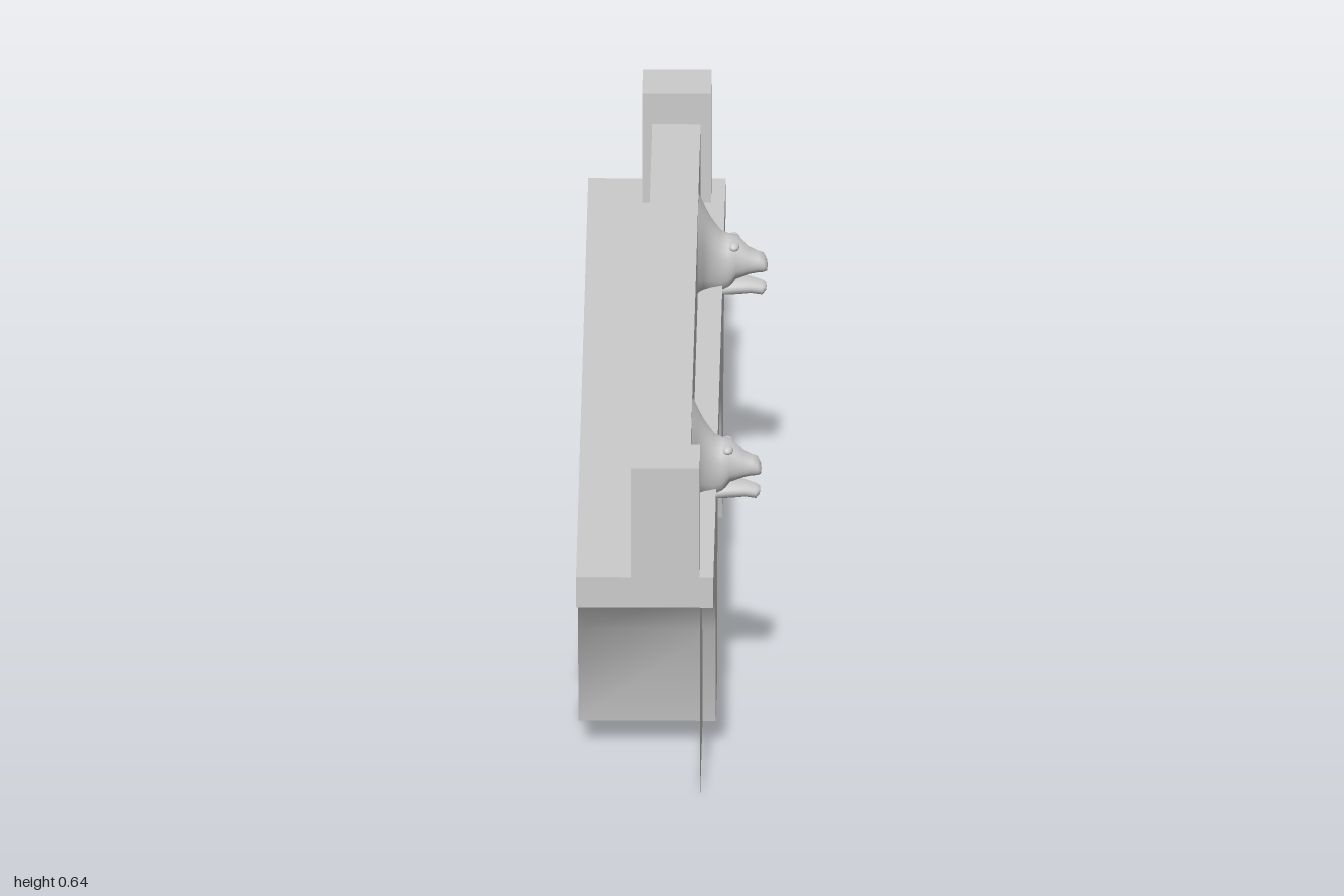
import * as THREE from 'three';

const stone = new THREE.MeshStandardMaterial({ color: 0xcccccc, side: THREE.DoubleSide });
stone.name = 'grey stone';

const FACE = 0.082, BACK = -0.168, DECK_BOTTOM = 0.373, DECK_TOP = 0.432;

function add(parent, name, geometry, x = 0, y = 0, z = 0) {
  const mesh = new THREE.Mesh(geometry, stone);
  mesh.name = name;
  mesh.position.set(x, y, z);
  parent.add(mesh);
  return mesh;
}

// Box given by its limits
function block(parent, name, x0, x1, y0, y1, z0, z1) {
  return add(parent, name, new THREE.BoxGeometry(x1 - x0, y1 - y0, z1 - z0),
    (x0 + x1) / 2, (y0 + y1) / 2, (z0 + z1) / 2);
}

// Smooth skin over oval sections along x: [x, top, bottom, half width]
function loft(sections, squareness = 1) {
  const n = 20, pos = [], index = [];
  const bend = v => Math.sign(v) * Math.pow(Math.abs(v), squareness);
  for (const [x, top, bottom, half] of sections) {
    for (let j = 0; j < n; j++) {
      const a = (j / n) * Math.PI * 2;
      pos.push(x, (top + bottom) / 2 + bend(Math.cos(a)) * (top - bottom) / 2, bend(Math.sin(a)) * half);
    }
  }
  for (let i = 0; i < sections.length - 1; i++) {
    for (let j = 0; j < n; j++) {
      const a = i * n + j, b = i * n + (j + 1) % n;
      index.push(a, b, a + n, b, b + n, a + n);
    }
  }
  // Blunt tip
  const [x, top, bottom] = sections[sections.length - 1];
  const last = (sections.length - 1) * n, centre = pos.length / 3;
  pos.push(x + 0.001, (top + bottom) / 2, 0);
  for (let j = 0; j < n; j++) index.push(centre, last + j, last + (j + 1) % n);
  const g = new THREE.BufferGeometry();
  g.setAttribute('position', new THREE.Float32BufferAttribute(pos, 3));
  g.setIndex(index);
  g.computeVertexNormals();
  return g;
}

// Curved sheet along an arch side, spanning the full bridge width; profile is [z, y]
function soffit(profile) {
  const pos = [], index = [];
  profile.forEach(([z, y], i) => {
    pos.push(FACE, y, z, BACK, y, z);
    if (i) {
      const a = 2 * i - 2;
      index.push(a, a + 1, a + 2, a + 1, a + 3, a + 2);
    }
  });
  if (profile[0][0] > profile[2][0]) index.reverse();
  const g = new THREE.BufferGeometry();
  g.setAttribute('position', new THREE.Float32BufferAttribute(pos, 3));
  g.setIndex(index);
  g.computeVertexNormals();
  return g;
}

// Animal head with a flared mane and an open mouth, facing +x
function makeHead() {
  const head = new THREE.Group();
  head.name = 'carvedHead';
  add(head, 'maneAndMuzzle', loft([
    [0.036, 0.583, 0.41, 0.115], [0.048, 0.563, 0.41, 0.085],
    [0.06, 0.542, 0.406, 0.066], [0.078, 0.518, 0.406, 0.053],
    [0.092, 0.512, 0.412, 0.047], [0.106, 0.51, 0.433, 0.043],
    [0.13, 0.487, 0.442, 0.033], [0.148, 0.479, 0.445, 0.026],
    [0.158, 0.475, 0.446, 0.026], [0.164, 0.462, 0.448, 0.018],
  ], 0.8));
  add(head, 'lowerJaw', loft([
    [0.07, 0.434, 0.404, 0.042], [0.11, 0.433, 0.404, 0.034],
    [0.135, 0.429, 0.405, 0.027], [0.155, 0.423, 0.401, 0.022],
    [0.162, 0.419, 0.409, 0.014],
  ], 0.8));
  for (const s of [-1, 1]) {
    const brow = add(head, 'brow', new THREE.SphereGeometry(0.012, 12, 8), 0.102, 0.499, s * 0.024);
    brow.scale.set(0.9, 0.7, 1.3);
  }
  return head;
}

export function createModel() {
  const model = new THREE.Group();
  model.name = 'bridgeParapet';

  // Deck and parapet
  block(model, 'deck', BACK, FACE, DECK_BOTTOM, DECK_TOP, -1, 1);
  block(model, 'parapetWall', -0.05, 0.038, DECK_TOP, 0.585, -0.88, 0.88);

  // Backing sheet behind the arches, shaded from its reverse side
  const sheet = new THREE.PlaneGeometry(2, DECK_BOTTOM).rotateY(Math.PI / 2);
  const normals = sheet.attributes.normal;
  for (let i = 0; i < normals.count; i++) normals.setX(i, -normals.getX(i));
  add(model, 'backingSheet', sheet, 0.058, DECK_BOTTOM / 2, 0);

  // Sides of a pier, as [z, y] from the foot up
  const inner = [[0.41, 0], [0.376, 0.19], [0.26, 0.31]];
  const outer = [[0.61, 0], [0.64, 0.19], [0.75, 0.31]];
  const outline = [[0, DECK_BOTTOM], ...[...inner].reverse(), ...outer, [1, DECK_BOTTOM]];

  for (const s of [-1, 1]) {
    block(model, 'endPost', -0.068, 0.057, DECK_TOP, 0.645, s * 0.94 - 0.06, s * 0.94 + 0.06);

    const shape = new THREE.Shape(outline.map(([z, y]) => new THREE.Vector2(-s * z, y)));
    add(model, 'pierFace', new THREE.ShapeGeometry(shape).rotateY(Math.PI / 2), FACE, 0, 0);

    for (const side of [inner, outer]) {
      add(model, 'archSoffit', soffit(side.map(([z, y]) => [s * z, y])));
    }

    const head = makeHead();
    head.position.z = s * 0.51;
    model.add(head);
  }
  return model;
}
